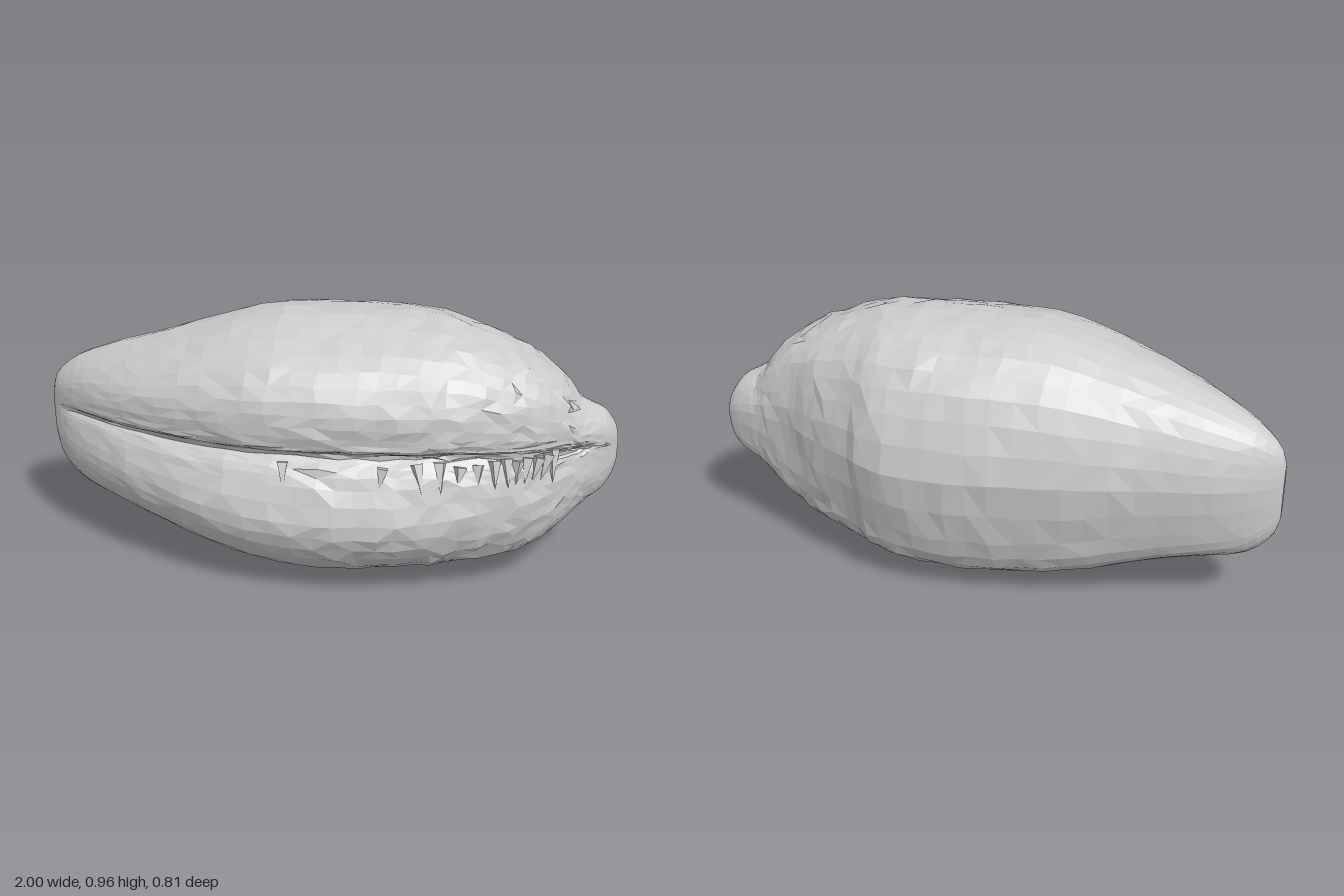
import * as THREE from 'three';

// Stations along the length: x, top y, bottom y, front z, back z
const STATIONS = [
  [-1.0, 0.58, 0.38, -0.025, -0.06], [-0.975, 0.645, 0.3, 0.01, -0.088], [-0.89, 0.715, 0.22, 0.085, -0.145],
  [-0.75, 0.775, 0.18, 0.18, -0.2], [-0.6, 0.825, 0.135, 0.26, -0.235], [-0.4, 0.893, 0.07, 0.34, -0.295],
  [-0.2, 0.947, 0.02, 0.387, -0.345], [0, 0.958, 0.003, 0.4, -0.385], [0.17, 0.957, 0.006, 0.388, -0.4],
  [0.34, 0.947, 0.02, 0.36, -0.388], [0.46, 0.925, 0.043, 0.325, -0.325], [0.6, 0.87, 0.085, 0.27, -0.26],
  [0.7, 0.82, 0.125, 0.222, -0.2], [0.8, 0.745, 0.19, 0.162, -0.168], [0.86, 0.67, 0.24, 0.115, -0.15],
  [0.9, 0.645, 0.275, 0.08, -0.142], [0.95, 0.615, 0.31, 0.035, -0.13], [0.985, 0.565, 0.36, -0.01, -0.115],
  [1.0, 0.52, 0.41, -0.04, -0.1],
];

// Cross-section, top -> front (with slit) -> bottom -> back: height, depth
const SECTION = [
  [1, 0], [0.95, 0.35], [0.84, 0.66], [0.67, 0.9], [0.48, 1], [0.3, 1], [0.21, 0.985], [0.16, 0.92],
  [0.11, 0.8], [0.04, 0.74], [-0.02, 0.83], [-0.13, 0.91], [-0.36, 1], [-0.57, 0.94], [-0.76, 0.75],
  [-0.91, 0.44], [-1, 0], [-0.92, -0.42], [-0.76, -0.72], [-0.5, -0.87], [0, -1], [0.45, -0.88],
  [0.76, -0.67], [0.93, -0.36],
];

let seed = 7;
function rand() {
  seed = (seed * 16807) % 2147483647;
  return seed / 2147483647;
}

const spline = (pts, closed) => new THREE.CatmullRomCurve3(pts, closed, 'catmullrom', 0.5);
const heights = spline(STATIONS.map(s => new THREE.Vector3(s[0], s[1], s[2])), false);
const depths = spline(STATIONS.map(s => new THREE.Vector3(s[0], s[3], s[4])), false);
const section = spline(SECTION.map(([v, w]) => new THREE.Vector3(0, v, w)), true);
const smooth = THREE.MathUtils.smoothstep;

// Point on the body for length parameter t and section coordinates v, w
function bodyPoint(t, v, w) {
  const h = heights.getPoint(t), d = depths.getPoint(t), x = h.x;
  // The shoulder before the end knob is squarer in section
  const square = smooth(x, 0.4, 0.75) * (1 - smooth(x, 0.8, 0.88));
  w = Math.sign(w) * Math.pow(Math.abs(w), 1 - 0.4 * square);
  // The slit closes near both ends
  const closed = Math.max(1 - smooth(x, -0.99, -0.88), smooth(x, 0.84, 0.95));
  if (Math.abs(v) < 0.3 && w > 0.5) w += (1 - w) * closed;
  const mid = Math.min(0.515, h.y - 0.35 * (h.y - h.z));
  const y = mid + v * (v > 0 ? h.y - mid : mid - h.z);
  const z = (d.y + d.z) / 2 + w * (d.y - d.z) / 2;
  return new THREE.Vector3(x, y, z);
}

function buildBody() {
  const rows = 46, cols = 48, pos = [], index = [];
  for (let i = 0; i <= rows; i++) {
    // Slight unevenness of the natural surface, fading toward both ends
    const rough = 0.011 * Math.sin(Math.PI * i / rows) ** 2;
    for (let j = 0; j < cols; j++) {
      const s = section.getPoint(j / cols);
      const p = bodyPoint(i / rows, s.y, s.z);
      pos.push(p.x + (rand() - 0.5) * rough * 2, p.y + (rand() - 0.5) * rough, p.z + (rand() - 0.5) * rough);
    }
  }
  for (let i = 0; i < rows; i++) {
    for (let j = 0; j < cols; j++) {
      const a = i * cols + j, b = i * cols + (j + 1) % cols, c = a + cols, d = b + cols;
      if (rand() < 0.5) index.push(a, b, c, b, d, c);
      else index.push(a, b, d, a, d, c);
    }
  }
  // End caps
  for (const i of [0, rows]) {
    const centre = pos.length / 3;
    pos.push(...bodyPoint(i / rows, 0, 0).toArray());
    for (let j = 0; j < cols; j++) {
      const a = i * cols + j, b = i * cols + (j + 1) % cols;
      if (i === 0) index.push(centre, b, a);
      else index.push(centre, a, b);
    }
  }
  const geo = new THREE.BufferGeometry();
  geo.setAttribute('position', new THREE.Float32BufferAttribute(pos, 3));
  geo.setIndex(index);
  geo.computeVertexNormals();
  return geo;
}

export function createModel() {
  const model = new THREE.Group();
  const material = new THREE.MeshStandardMaterial({ color: 0xcccccc, flatShading: true });

  const body = new THREE.Mesh(buildBody(), material);
  body.name = 'body';
  model.add(body);

  // Ragged ridges lying down the lower lip of the slit, denser toward the left end
  const teeth = new THREE.Group();
  teeth.name = 'slitTeeth';
  for (let i = 0; i < 13; i++) {
    const t = 0.36 + 0.35 * Math.sqrt(i / 12);
    const height = 0.07 + 0.05 * rand();
    const tooth = new THREE.Mesh(new THREE.ConeGeometry(0.024, height, 4), material);
    tooth.name = 'tooth';
    tooth.position.copy(bodyPoint(t, -0.07, 0.865));
    tooth.rotation.set(Math.PI - 0.4, rand() * 1.5, (rand() - 0.5) * 0.5);
    teeth.add(tooth);
  }
  model.add(teeth);
  return model;
}
